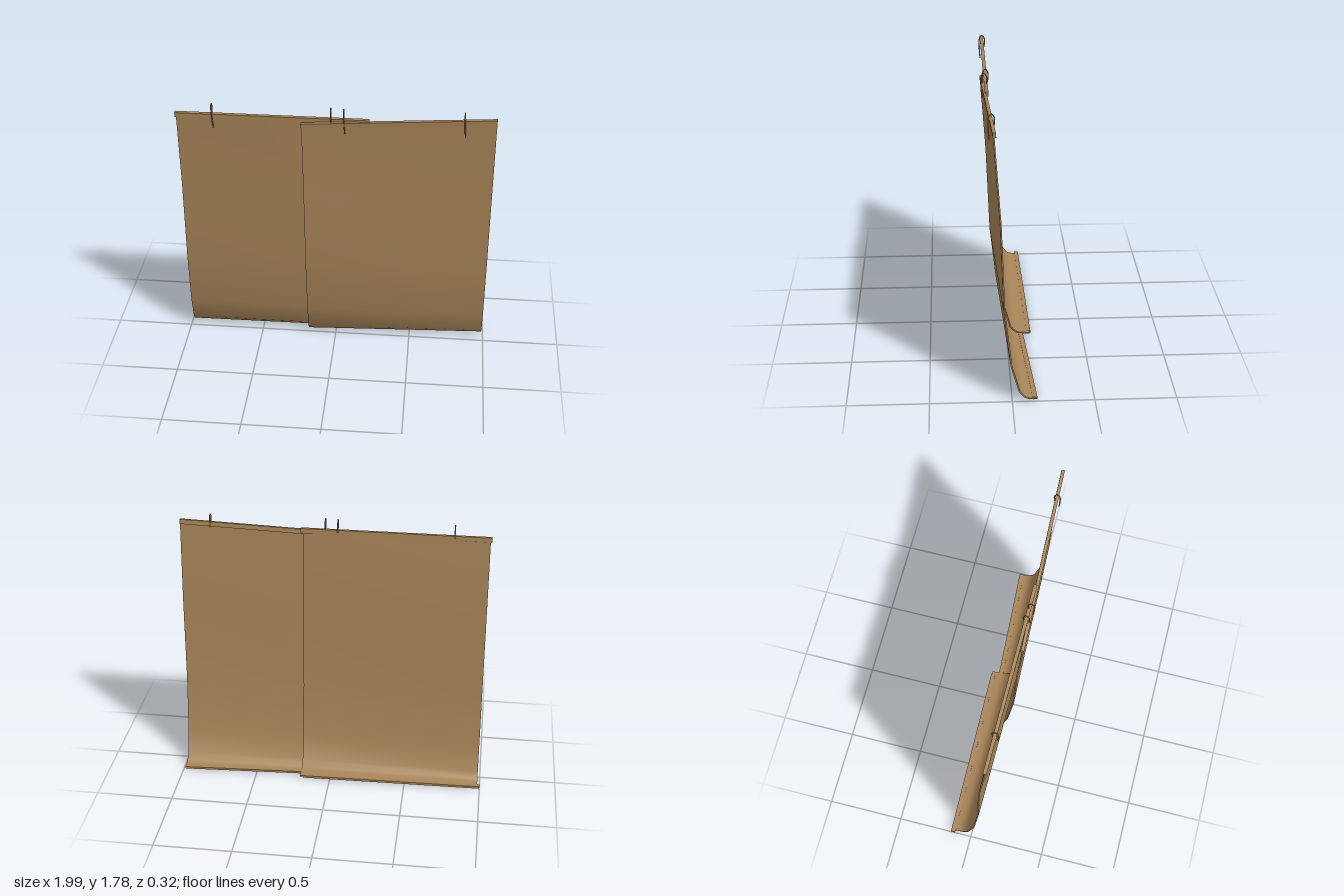
import * as THREE from 'three';
import { toCreasedNormals } from 'three/addons/utils/BufferGeometryUtils.js';

const TOP = 1.7;

// Back side of a cross-section: the front line moved inwards by t
function offset(front, t) {
  return front.map(([z, y], i) => {
    const p = front[Math.max(i - 1, 0)], q = front[Math.min(i + 1, front.length - 1)];
    const dz = q[0] - p[0], dy = q[1] - p[1], l = Math.hypot(dz, dy);
    return [z + (dy / l) * t, y - (dz / l) * t];
  });
}

// Sheet of thickness t between two end profiles given as [z, y] from top to bottom;
// each end has an x at the top and one at the bottom
function sheet(rightEnd, leftEnd, xRight, xLeft, t) {
  const n = rightEnd.length, pos = [], idx = [];
  const addEnd = (front, [xTop, xBottom]) => {
    for (const [z, y] of [...front, ...offset(front, t).reverse()]) {
      pos.push(THREE.MathUtils.lerp(xBottom, xTop, y / TOP), y, z);
    }
  };
  addEnd(rightEnd, xRight);
  addEnd(leftEnd, xLeft);
  const m = 2 * n;
  for (let i = 0; i < m; i++) {
    const j = (i + 1) % m;
    idx.push(i, j, m + j, i, m + j, m + i);
  }
  for (let i = 0; i < n - 1; i++) {
    const a = i, b = i + 1, c = m - 2 - i, d = m - 1 - i;
    idx.push(a, c, b, a, d, c, m + a, m + b, m + c, m + a, m + c, m + d);
  }
  const g = new THREE.BufferGeometry();
  g.setAttribute('position', new THREE.Float32BufferAttribute(pos, 3));
  g.setIndex(idx);
  return toCreasedNormals(g, 0.7);
}

export function createModel() {
  const model = new THREE.Group();
  const tan = new THREE.MeshStandardMaterial({ color: 0xa98559 });
  tan.name = 'tan';
  const add = (name, geometry) => {
    const mesh = new THREE.Mesh(geometry, tan);
    mesh.name = name;
    model.add(mesh);
  };

  // Rear panel, on the model's right
  const rearRight = [[0.128, 1.7], [0.08, 1.17], [0.062, 0.6], [0.025, 0.23],
    [-0.02, 0.06], [-0.05, 0.022], [-0.08, 0.01], [-0.135, 0.008]];
  const rearLeft = [[0.128, 1.7], [0.092, 1.17], [0.068, 0.6], [0.025, 0.23],
    [-0.022, 0.06], [-0.06, 0.022], [-0.09, 0.01], [-0.155, 0.008]];
  add('rearPanel', sheet(rearRight, rearLeft, [-0.972, -0.985], [0.2, 0.2], 0.009));
  add('rearPanelHem', sheet([[0.132, 1.703], [0.13, 1.672]], [[0.132, 1.703], [0.13, 1.672]],
    [-0.98, -0.98], [0.215, 0.215], 0.022));
  add('rearPanelLip', sheet([[-0.112, 0.004], [-0.14, 0.004]], [[-0.132, 0.004], [-0.16, 0.004]],
    [-1, -1], [0.18, 0.18], 0.016));

  // Front panel, overlapping it on the model's left and slightly turned
  const frontRight = [[0.153, 1.67], [0.118, 1.17], [0.095, 0.6], [0.054, 0.23],
    [0.01, 0.055], [-0.025, 0.012], [-0.055, 0.001], [-0.085, 0.001]];
  const frontLeft = [[0.112, 1.727], [0.072, 1.17], [0.051, 0.6], [0.008, 0.23],
    [-0.04, 0.06], [-0.075, 0.02], [-0.105, 0.008], [-0.15, 0.007]];
  add('frontPanel', sheet(frontRight, frontLeft, [-0.198, -0.185], [0.985, 0.99], 0.009));
  add('frontPanelHem', sheet([[0.155, 1.672], [0.152, 1.642]], [[0.114, 1.73], [0.111, 1.7]],
    [-0.2, -0.2], [0.985, 0.985], 0.02));
  add('frontPanelLip', sheet([[-0.058, 0], [-0.087, 0]], [[-0.125, 0.004], [-0.153, 0.004]],
    [-0.18, -0.18], [0.985, 0.985], 0.015));

  // Wire hooks straddling the top hems
  for (const [x, z] of [[-0.75, 0.122], [-0.02, 0.122], [0.06, 0.132], [0.79, 0.112]]) {
    const path = new THREE.CatmullRomCurve3([
      [0.008, 1.615, 0.014], [0.003, 1.68, 0.018], [0, 1.75, 0.016], [0, 1.772, 0],
      [0, 1.75, -0.016], [0, 1.69, -0.014],
    ].map(([dx, y, dz]) => new THREE.Vector3(x + dx, y, z + dz)));
    add('hook', new THREE.TubeGeometry(path, 20, 0.004, 6));
  }
  return model;
}
